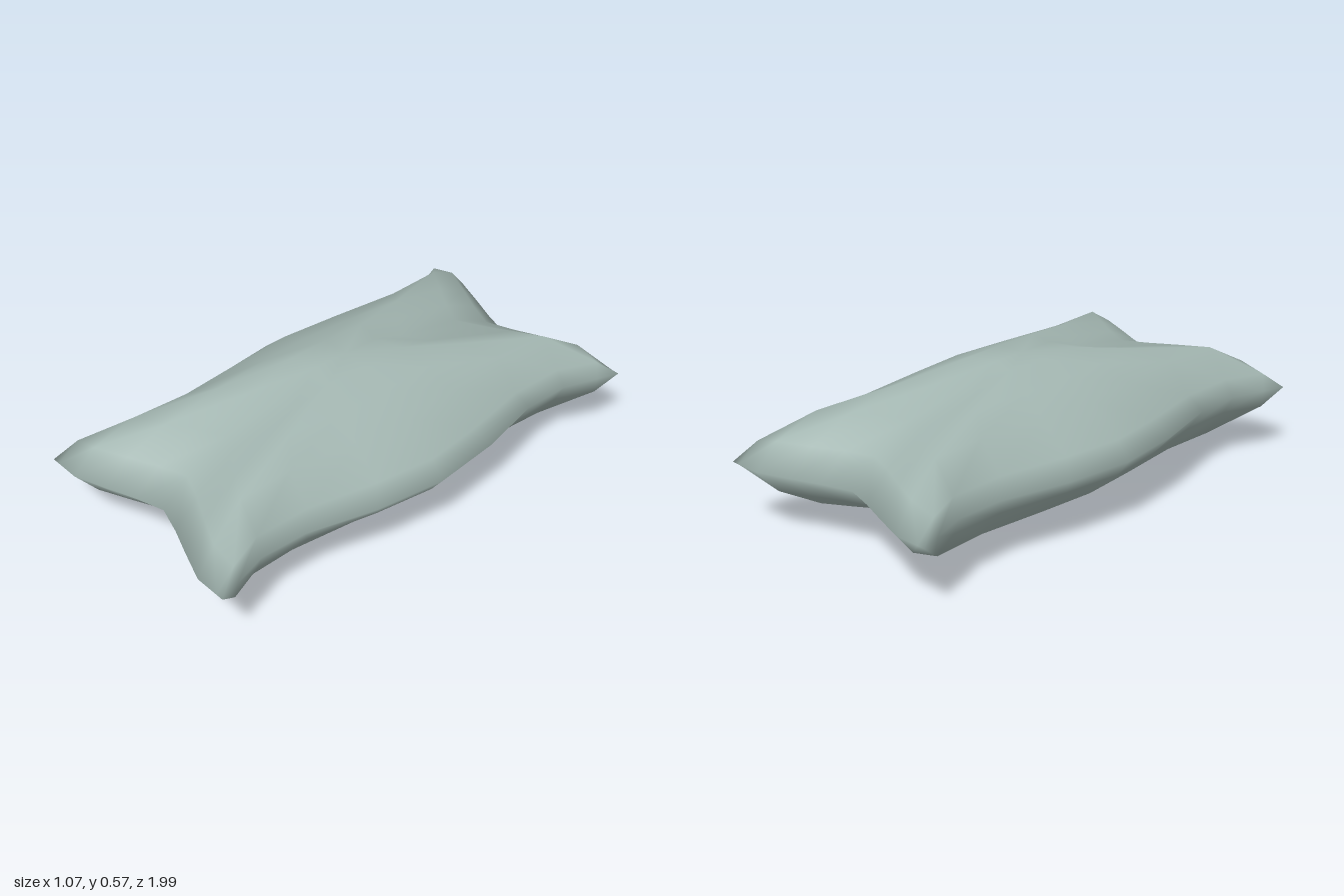
import * as THREE from 'three';
import { mergeVertices } from 'three/addons/utils/BufferGeometryUtils.js';

// Tables run from the middle of the cushion (0) out to the seam (5).
const N = 5, MID = 0.2875;
// half widths for each row: seam, edge ring, shoulder
const SEAM = [0.535, 0.5, 0.43, 0.428, 0.475, 0.505];
const RING = [0.48, 0.45, 0.395, 0.395, 0.462, 0.472];
const SHOULDER = [0.35, 0.33, 0.3, 0.31, 0.355, 0.37];
// row positions along z: at the middle column, the shoulder and the seam
const Z_MID = [0, 0.15, 0.29, 0.57, 0.75, 0.86];
const Z_SHOULDER = [0, 0.24, 0.52, 0.75, 0.905, 0.99];
const Z_SEAM = [0, 0.285, 0.565, 0.76, 0.9, 0.99];
const DIP = [1, 0.72, 0.36, 0, 0, 0];
// heights above the seam by column and by row
const H_COL = [0.2875, 0.2875, 0.24, 0.185, 0.07, 0];
const H_ROW = [0.2875, 0.2875, 0.235, 0.185, 0.098, 0];

// Point of the padded surface; i, j from -5 to 5, side +1 top or -1 bottom
function point(i, j, side) {
  const c = Math.abs(i), r = Math.abs(j);
  const xs = [0, 0.32 * SHOULDER[r], 0.65 * SHOULDER[r], SHOULDER[r], RING[r], SEAM[r]];
  const outer = c === N ? Z_SEAM[r] : Z_SHOULDER[r];
  const z = outer + (Z_MID[r] - outer) * DIP[c];
  const h = Math.min(H_COL[c], H_ROW[r]);
  return [Math.sign(i) * xs[c], MID + side * h, Math.sign(j) * z];
}

function cushionGeometry() {
  const positions = [], index = [], n = 2 * N + 1;
  for (const side of [1, -1]) {
    const start = positions.length / 3;
    for (let j = -N; j <= N; j++)
      for (let i = -N; i <= N; i++) positions.push(...point(i, j, side));
    for (let j = 0; j < n - 1; j++) {
      for (let i = 0; i < n - 1; i++) {
        const a = start + j * n + i, b = a + n, c = b + 1, d = a + 1;
        // diagonals mirrored in each quarter
        const tris = (i < N) === (j < N) ? [[a, b, c], [a, c, d]] : [[a, b, d], [b, c, d]];
        for (const t of tris) index.push(...(side > 0 ? t : t.reverse()));
      }
    }
  }
  const g = new THREE.BufferGeometry();
  g.setAttribute('position', new THREE.Float32BufferAttribute(positions, 3));
  g.setIndex(index);
  // join the halves at the seam so the shading is smooth
  const welded = mergeVertices(g, 1e-4);
  welded.computeVertexNormals();
  return welded;
}

export function createModel() {
  const group = new THREE.Group();
  group.name = 'pillow';
  const material = new THREE.MeshStandardMaterial({ color: 0xa3b6b1 });
  const cushion = new THREE.Mesh(cushionGeometry(), material);
  cushion.name = 'cushion';
  cushion.rotation.y = -0.01; // slightly askew
  group.add(cushion);
  return group;
}
